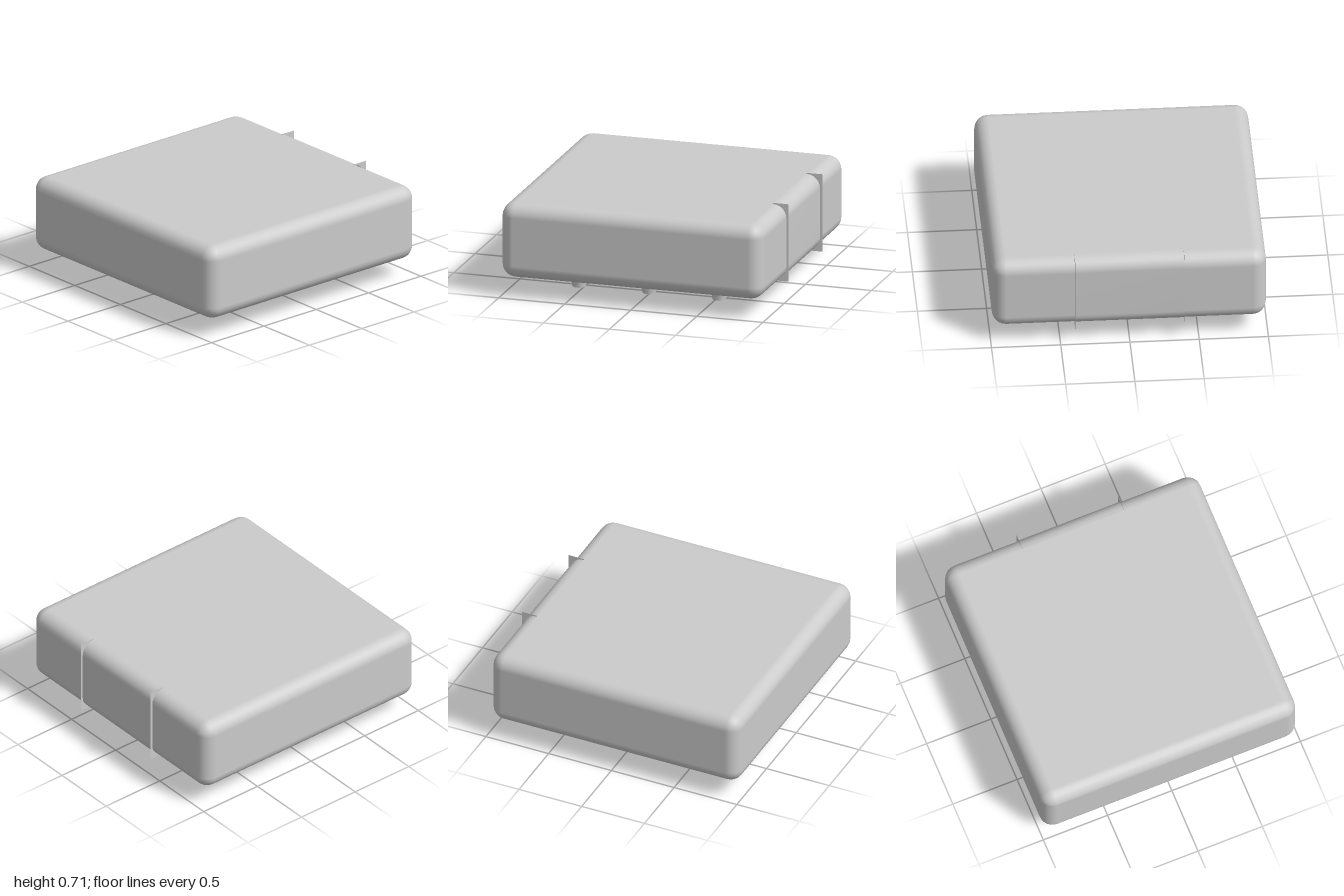
import * as THREE from 'three';
import { RoundedBoxGeometry } from 'three/addons/geometries/RoundedBoxGeometry.js';

const CX = -0.01, BOTTOM = 0.142, TOP = 0.703, HALF = 0.99, RADIUS = 0.1;

export function createModel() {
  const group = new THREE.Group();
  const grey = new THREE.MeshStandardMaterial({ color: 0xcccccc });
  const sheet = new THREE.MeshStandardMaterial({ color: 0xcccccc, side: THREE.DoubleSide });

  const add = (name, geometry, material, x = 0, y = 0, z = 0) => {
    const mesh = new THREE.Mesh(geometry, material);
    mesh.name = name;
    mesh.position.set(x, y, z);
    group.add(mesh);
    return mesh;
  };

  // Soft-edged square body
  add('body', new RoundedBoxGeometry(2 * HALF, TOP - BOTTOM, 2 * HALF, 3, RADIUS),
    grey, CX, (TOP + BOTTOM) / 2, 0);

  // Six flared feet in two rows of three
  const profile = [[0.05, 0], [0.053, 0.025], [0.06, 0.06], [0.072, 0.095], [0.086, 0.123], [0.1, 0.144], [0.1, 0.16]]
    .map(([r, y]) => new THREE.Vector2(r, y));
  const footGeometry = new THREE.LatheGeometry(profile, 12);
  const soleGeometry = new THREE.CircleGeometry(0.05, 12).rotateX(Math.PI / 2);
  for (const z of [-0.535, 0.535]) {
    for (const dx of [-0.53, 0, 0.53]) {
      add('foot', footGeometry, grey, CX + dx, 0, z);
      add('footSole', soleGeometry, grey, CX + dx, 0, z);
    }
  }

  // Cross-section of the clip, hugging the body's left side from top to bottom
  const side = CX + HALF + 0.003, y1 = TOP + 0.004, y0 = BOTTOM - 0.002;
  const line = [[0.88, y1]];
  for (let i = 0; i <= 6; i++) {
    const a = Math.PI / 2 * (1 - i / 6);
    line.push([side - RADIUS + RADIUS * Math.cos(a), y1 - RADIUS + RADIUS * Math.sin(a)]);
  }
  for (let i = 0; i <= 6; i++) {
    const a = -Math.PI / 2 * i / 6;
    line.push([side - RADIUS + RADIUS * Math.cos(a), y0 + RADIUS + RADIUS * Math.sin(a)]);
  }
  line.push([0.81, y0]);

  // Thin band between the two fins
  const width = 0.79;
  const band = new THREE.PlaneGeometry(1, width, line.length - 1, 1);
  const p = band.attributes.position;
  for (let i = 0; i < p.count; i++) {
    const [x, y] = line[i % line.length];
    p.setXYZ(i, x, y, i < line.length ? width / 2 : -width / 2);
  }
  band.computeVertexNormals();
  add('clipBand', band, sheet);

  // Flat fins at both ends of the band, square outside and rounded inside
  const fin = new THREE.Shape([...line, [0.81, 0.133], [1, 0.133], [1, 0.715], [0.88, 0.715]]
    .map(([x, y]) => new THREE.Vector2(x, y)));
  const finGeometry = new THREE.ShapeGeometry(fin);
  for (const s of [-1, 1]) add('clipFin', finGeometry, sheet, 0, 0, s * width / 2);

  return group;
}
